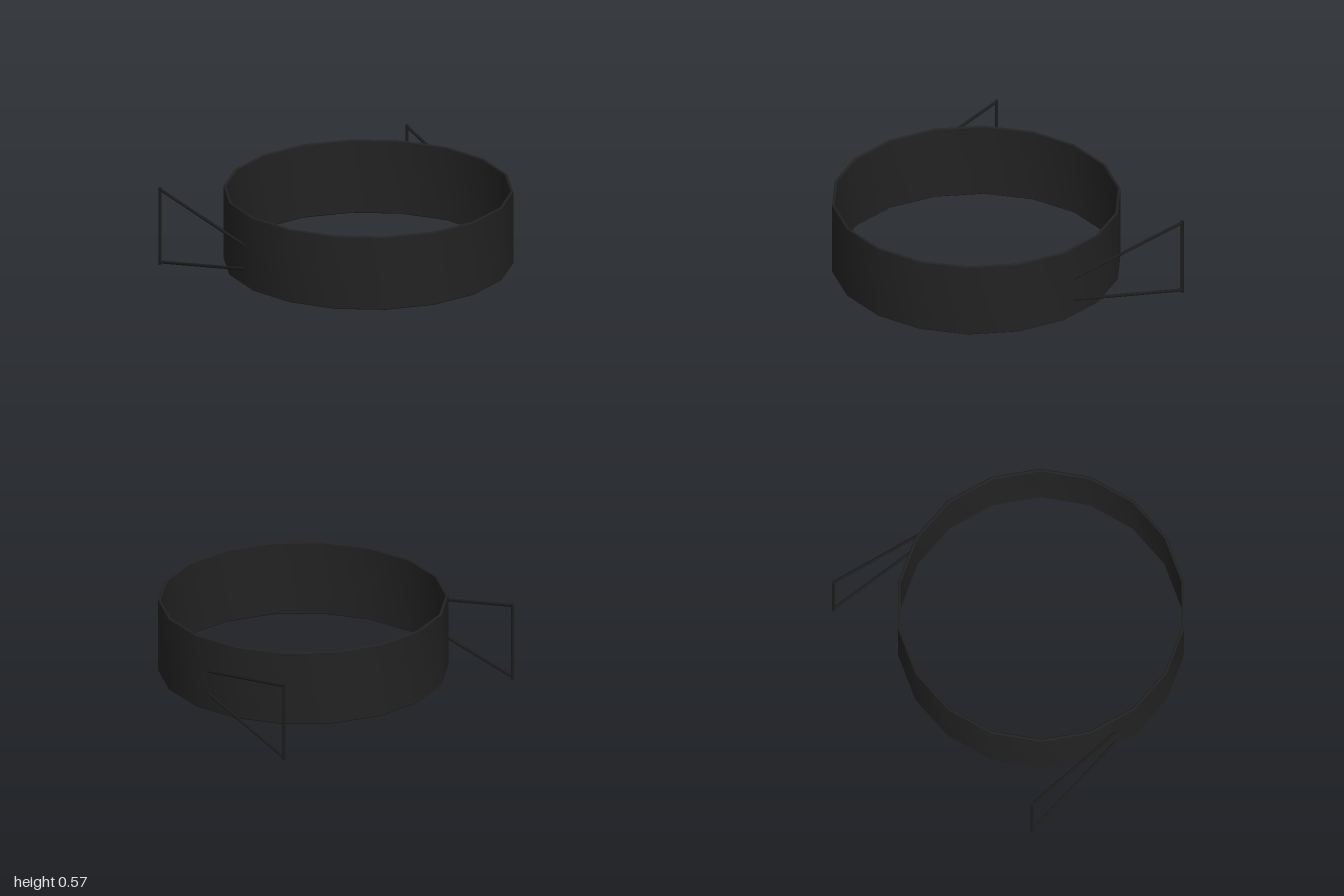
import * as THREE from 'three';
import { toCreasedNormals } from 'three/addons/utils/BufferGeometryUtils.js';

const RADIUS = 0.01;

// Thin round rod between two points
function rod(name, a, b, material) {
  const dir = b.clone().sub(a);
  const mesh = new THREE.Mesh(new THREE.CylinderGeometry(RADIUS, RADIUS, dir.length(), 10), material);
  mesh.position.copy(a).add(b).multiplyScalar(0.5);
  mesh.quaternion.setFromUnitVectors(new THREE.Vector3(0, 1, 0), dir.normalize());
  mesh.name = name;
  return mesh;
}

export function createModel() {
  const model = new THREE.Group();
  model.name = 'bandWithSideFrames';
  const bandMaterial = new THREE.MeshStandardMaterial({ color: 0x222222 });
  const rodMaterial = new THREE.MeshStandardMaterial({ color: 0x1c1c1c });

  // Eighteen-sided band: thin wall with slightly bevelled rims
  const outer = 0.932, inner = 0.914, low = 0.072, high = 0.57, bevel = 0.006;
  const profile = [
    [inner + bevel, low], [outer - bevel, low], [outer, low + bevel], [outer, high - bevel],
    [outer - bevel, high], [inner + bevel, high], [inner, high - bevel], [inner, low + bevel],
    [inner + bevel, low],
  ].map(([x, y]) => new THREE.Vector2(x, y));
  const lathe = new THREE.LatheGeometry(profile, 18, Math.PI / 18);
  const band = new THREE.Mesh(toCreasedNormals(lathe, Math.PI / 6), bandMaterial);
  band.name = 'band';
  model.add(band);

  // Wire frame on each side: two diverging arms joined by an upright
  for (const [side, s] of [['left', 1], ['right', -1]]) {
    const frame = new THREE.Group();
    frame.name = side + 'Frame';
    const p = (x, y, z) => new THREE.Vector3(s * x, y, z);
    frame.add(
      rod('upperArm', p(0.91, 0.342, -0.095), p(0.99, 0.514, -0.908), rodMaterial),
      rod('lowerArm', p(0.91, 0.187, -0.095), p(0.99, 0.018, -0.908), rodMaterial),
      rod('upright', p(0.99, 0, -0.908), p(0.99, 0.525, -0.908), rodMaterial),
    );
    model.add(frame);
  }
  return model;
}
